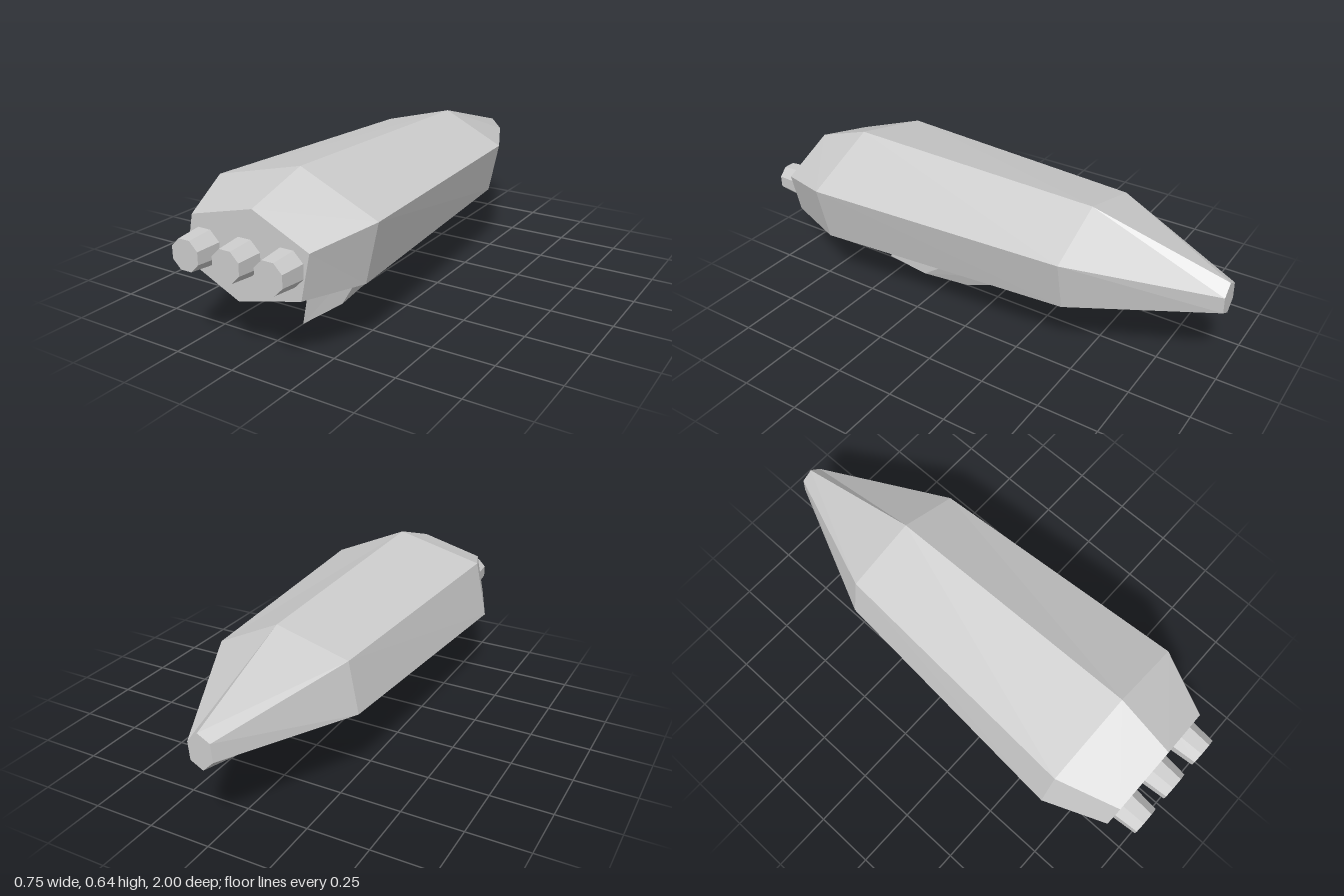
import * as THREE from 'three';

// Skin a list of equal-sized rings (counter-clockwise seen from the first ring) and cap both ends.
function loft(rings) {
  const pos = [];
  const tri = (...pts) => pts.forEach((p) => pos.push(...p));
  const n = rings[0].length;
  for (let i = 0; i < rings.length - 1; i++) {
    for (let j = 0; j < n; j++) {
      const k = (j + 1) % n;
      const a = rings[i][j], b = rings[i][k], c = rings[i + 1][k], d = rings[i + 1][j];
      tri(a, d, b);
      tri(b, d, c);
    }
  }
  const first = rings[0], last = rings[rings.length - 1];
  for (let j = 1; j < n - 1; j++) {
    tri(first[0], first[j], first[j + 1]);
    tri(last[0], last[j + 1], last[j]);
  }
  const g = new THREE.BufferGeometry();
  g.setAttribute('position', new THREE.Float32BufferAttribute(pos, 3));
  g.computeVertexNormals();
  return g;
}

export function createModel() {
  const model = new THREE.Group();
  model.name = 'spaceship';
  const grey = new THREE.MeshStandardMaterial({ color: 0xcccccc, flatShading: true });
  grey.name = 'hull grey';

  const add = (name, geometry) => {
    const mesh = new THREE.Mesh(geometry, grey);
    mesh.name = name;
    model.add(mesh);
    return mesh;
  };

  // Hull: a skewed hexagon scaled along z
  const half = [[0.373, 0.092], [0.053, 0.2365], [-0.32, 0.146]];
  const hexagon = [...half, ...half.map(([x, y]) => [-x, -y])];
  const stations = [ // z, centre y, x scale, y scale
    [0.9, 0.3835, 0.721, 0.746],
    [0.65, 0.4085, 1, 1],
    [-0.45, 0.409, 0.8, 0.871],
    [-1, 0.385, 0.134, 0.296],
  ];
  add('hull', loft(stations.map(([z, cy, sx, sy]) =>
    hexagon.map(([x, y]) => [x * sx, cy + y * sy, z]))));

  // Three tapered octagonal engine nozzles
  const nozzle = new THREE.CylinderGeometry(0.0617, 0.0725, 0.12, 8);
  nozzle.rotateY(Math.PI / 8);
  nozzle.rotateX(Math.PI / 2);
  [['rightNozzle', -0.178], ['middleNozzle', 0], ['leftNozzle', 0.178]].forEach(([name, x]) => {
    add(name, nozzle).position.set(x, 0.384, 0.94);
  });

  // Swept ventral fin with a diamond section, its root sunk into the hull
  const diamond = (y, back, middle, front, w) =>
    [[0, y, back], [w, y, middle], [0, y, front], [-w, y, middle]];
  add('ventralFin', loft([
    diamond(0.24, 0.523, 0.045, -0.452, 0.057),
    diamond(0, 0.595, 0.375, 0.16, 0.028),
  ]));

  return model;
}
